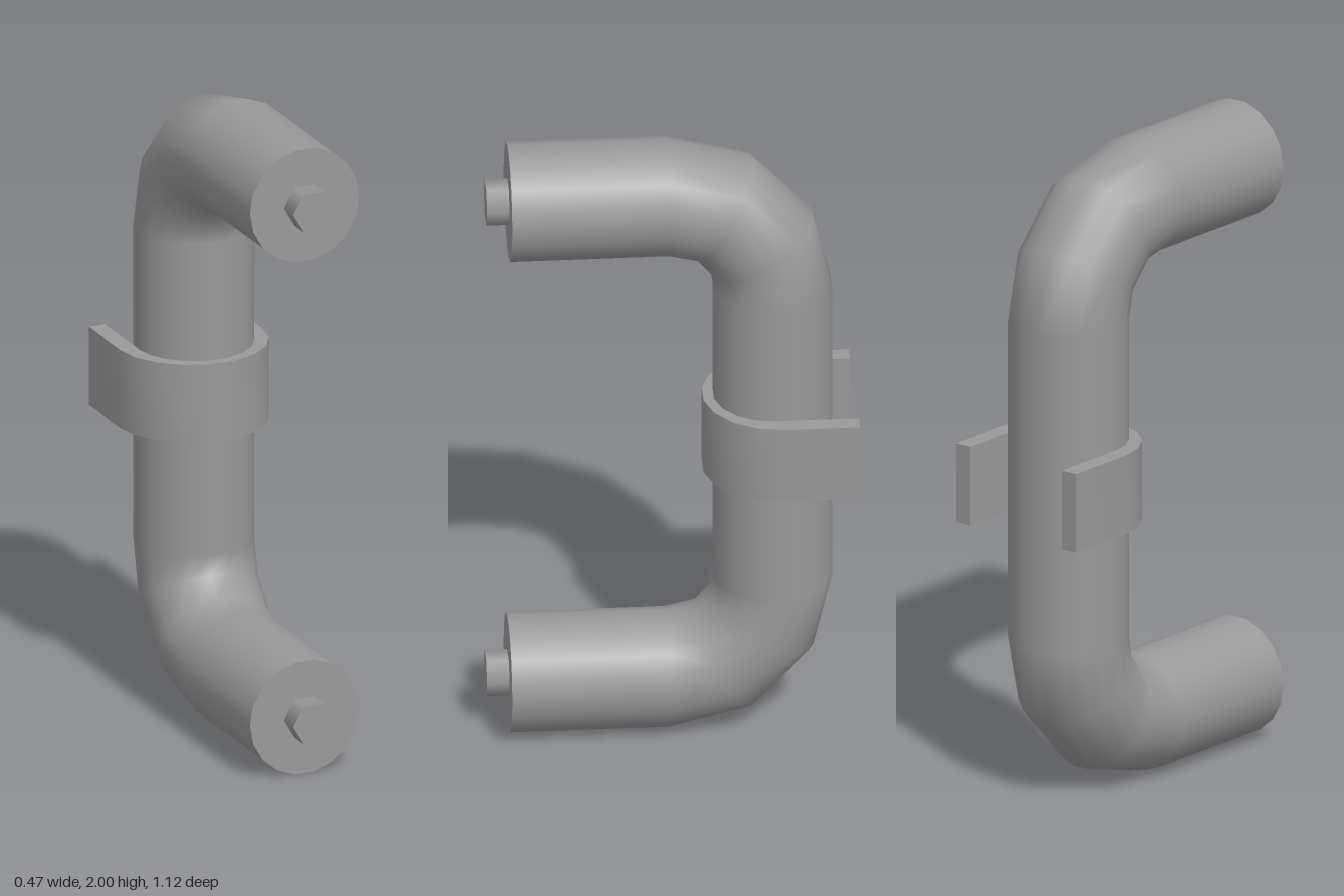
import * as THREE from 'three';
import { toCreasedNormals } from 'three/addons/utils/BufferGeometryUtils.js';

const R = 0.182, SIDES = 18, FRONT_Z = 0.49;

// Tube swept along a C-shaped path in the yz plane
function pipeGeometry() {
  // Upper half of the path: height, depth and turn in degrees; the lower half mirrors it
  const upper = [[1.82, FRONT_Z, 0], [1.82, 0.01, 0], [1.777, -0.16, 30], [1.65, -0.277, 60], [1.5, -0.31, 90]];
  const lower = upper.map(([y, z, turn]) => [2 - y, z, 180 - turn]).reverse();
  const rings = [...upper, ...lower];

  const position = [], normal = [], index = [];
  rings.forEach(([y, z, turn], j) => {
    const a = THREE.MathUtils.degToRad(turn);
    for (let k = 0; k <= SIDES; k++) {
      const t = (k / SIDES) * Math.PI * 2;
      const n = [Math.cos(t), Math.sin(t) * Math.cos(a), -Math.sin(t) * Math.sin(a)];
      normal.push(...n);
      position.push(R * n[0], y + R * n[1], z + R * n[2]);
      if (j < rings.length - 1 && k < SIDES) {
        const p = j * (SIDES + 1) + k, q = p + SIDES + 1;
        index.push(p, q, p + 1, p + 1, q, q + 1);
      }
    }
  });
  const g = new THREE.BufferGeometry();
  g.setAttribute('position', new THREE.Float32BufferAttribute(position, 3));
  g.setAttribute('normal', new THREE.Float32BufferAttribute(normal, 3));
  g.setIndex(index);
  return g;
}

// U-shaped strap: half ring round the front of the pipe, straight legs to the back
function clipGeometry() {
  const outer = 0.235, inner = 0.18, cz = -0.33, backZ = -0.558, segs = 9;
  const arc = (r) => Array.from({ length: segs + 1 }, (_, i) => {
    const t = (i / segs) * Math.PI;
    return new THREE.Vector2(r * Math.cos(t), -cz - r * Math.sin(t));
  });
  const shape = new THREE.Shape([
    new THREE.Vector2(outer, -backZ), ...arc(outer), new THREE.Vector2(-outer, -backZ),
    new THREE.Vector2(-inner, -backZ), ...arc(inner).reverse(), new THREE.Vector2(inner, -backZ),
  ]);
  const g = new THREE.ExtrudeGeometry(shape, { depth: 0.25, bevelEnabled: false });
  g.rotateX(-Math.PI / 2);
  return toCreasedNormals(g, 0.6);
}

export function createModel() {
  const model = new THREE.Group();
  model.name = 'pullHandle';
  const grey = new THREE.MeshStandardMaterial({ color: 0x999999 });
  const add = (name, geometry, x, y, z) => {
    const mesh = new THREE.Mesh(geometry, grey);
    mesh.name = name;
    mesh.position.set(x, y, z);
    model.add(mesh);
  };

  add('handlePipe', pipeGeometry(), 0, 0, 0);
  add('clip', clipGeometry(), 0, 0.875, 0);

  // End caps and hexagonal studs
  const cap = new THREE.CircleGeometry(R, SIDES);
  const stud = new THREE.CylinderGeometry(0.07, 0.07, 0.068, 6).rotateX(Math.PI / 2).rotateZ(Math.PI / 2);
  for (const [side, y] of [['upper', 1.82], ['lower', 0.18]]) {
    add(side + 'EndCap', cap, 0, y, FRONT_Z);
    add(side + 'Stud', stud, 0, y, FRONT_Z + 0.034);
  }
  return model;
}
